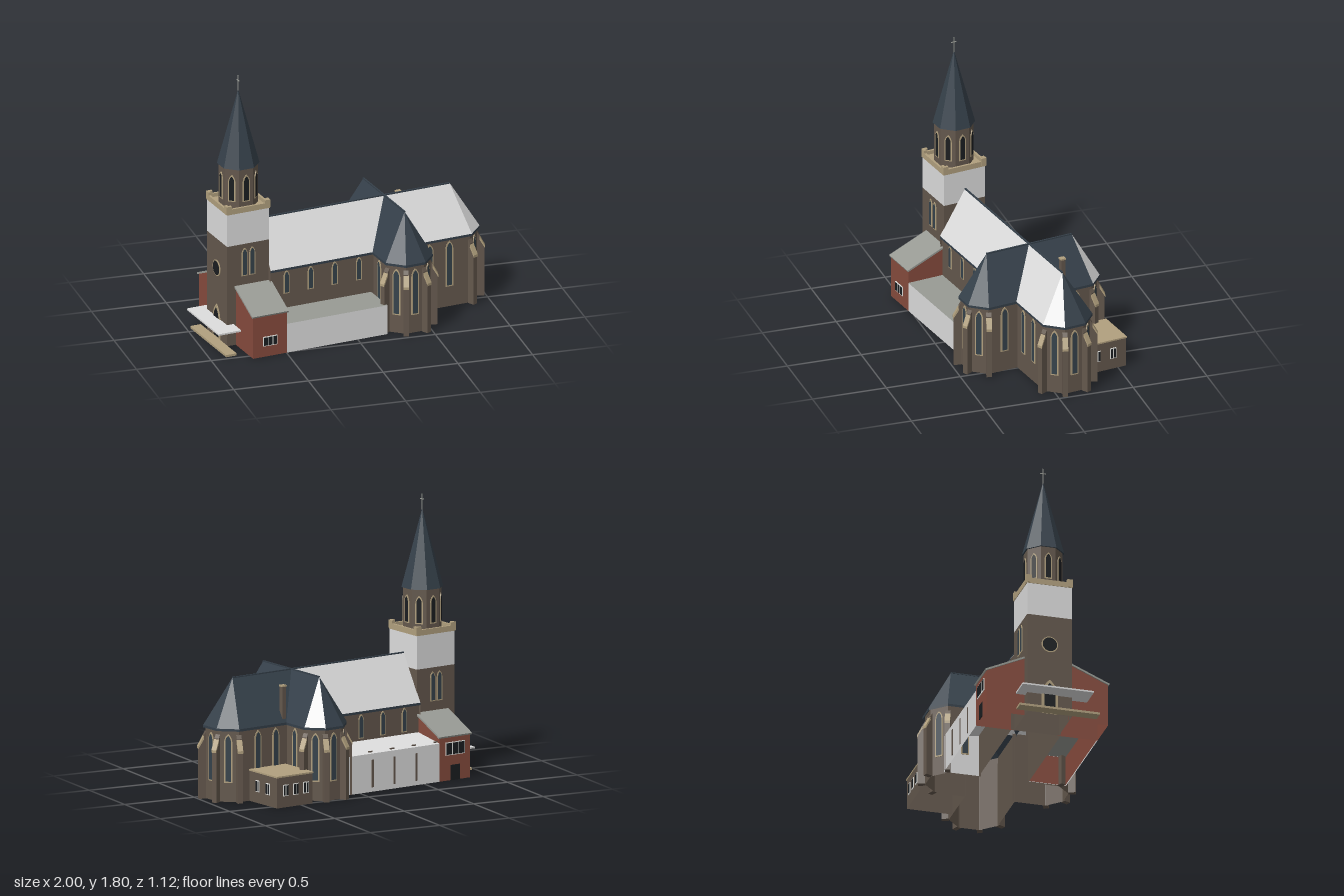
import * as THREE from 'three';

const mat = (name, color) => new THREE.MeshStandardMaterial({ name, color, side: THREE.DoubleSide });
const M = {
  brick: mat('brown brick', 0x64584d),
  red: mat('red brick', 0x864b3d),
  stone: mat('tan stone', 0xb1a07e),
  slate: mat('slate', 0x35404a),
  pale: mat('pale grey', 0xdddddd),
  grey: mat('grey roofing', 0x989a94),
  glass: mat('church glass', 0x35424b),
  dark: mat('dark opening', 0x1a1d20),
  white: mat('white frame', 0xe8e8e4),
};
const RIDGE = 0.78, EAVE = 0.48, T = Math.tan(Math.PI / 8);

function add(parent, geo, m, name, x = 0, y = 0, z = 0, ry = 0) {
  const mesh = new THREE.Mesh(geo, m);
  mesh.name = name;
  mesh.position.set(x, y, z);
  mesh.rotation.y = ry;
  parent.add(mesh);
  return mesh;
}
// Box given by its limits on each axis
function box(parent, m, name, x0, x1, y0, y1, z0, z1) {
  return add(parent, new THREE.BoxGeometry(x1 - x0, y1 - y0, z1 - z0), m, name,
    (x0 + x1) / 2, (y0 + y1) / 2, (z0 + z1) / 2);
}
// Flat polygons, each fanned from its first corner
function faces(parent, m, name, polys) {
  const pos = [];
  for (const p of polys)
    for (let i = 1; i < p.length - 1; i++) pos.push(...p[0], ...p[i], ...p[i + 1]);
  const g = new THREE.BufferGeometry();
  g.setAttribute('position', new THREE.Float32BufferAttribute(pos, 3));
  g.computeVertexNormals();
  return add(parent, g, m, name);
}
// Roof slope with a lining of the other roofing colour just beneath it
function slope(parent, m, poly) {
  faces(parent, m, 'roofSlope', [poly]);
  faces(parent, m === M.pale ? M.slate : M.pale, 'roofLining', [poly]).position.y = -0.006;
}
// Upright wall following a plan line of [x, z] points
function wall(parent, m, name, pts, y0, y1) {
  const polys = [];
  for (let i = 0; i < pts.length - 1; i++) {
    const [a, b] = [pts[i], pts[i + 1]];
    polys.push([[a[0], y0, a[1]], [a[0], y1, a[1]], [b[0], y1, b[1]], [b[0], y0, b[1]]]);
  }
  return faces(parent, m, name, polys);
}
function extrude(shape, depth) {
  return new THREE.ExtrudeGeometry(shape, { depth, bevelEnabled: false, curveSegments: 5 });
}
function lancetShape(w, h) {
  const s = new THREE.Shape(), r = w / 2;
  s.moveTo(-r, 0);
  s.lineTo(r, 0);
  s.lineTo(r, h - w);
  s.quadraticCurveTo(r * 0.9, h - w * 0.35, 0, h);
  s.quadraticCurveTo(-r * 0.9, h - w * 0.35, -r, h - w);
  return s;
}
// Pointed window with a stone surround; ry turns its face from +z
function lancet(parent, x, y, z, ry, w, h, glass = M.glass) {
  const g = new THREE.Group();
  g.name = 'lancetWindow';
  g.position.set(x, y, z);
  g.rotation.y = ry;
  add(g, extrude(lancetShape(w, h), 0.004), M.stone, 'windowSurround', 0, 0, 0.002);
  add(g, new THREE.ShapeGeometry(lancetShape(w * 0.68, h - w * 0.38), 5), glass, 'windowGlass', 0, w * 0.16, 0.008);
  parent.add(g);
}
// Square window with white frame and dark panes
function paneWindow(parent, x, y, z, ry, w, h, n) {
  const g = new THREE.Group();
  g.name = 'paneWindow';
  g.position.set(x, y, z);
  g.rotation.y = ry;
  add(g, new THREE.BoxGeometry(w, h, 0.004), M.white, 'frame', 0, 0, 0.004);
  for (let i = 0; i < n; i++)
    add(g, new THREE.PlaneGeometry(w / n - 0.006, h - 0.01), M.dark, 'pane', (i + 0.5) * w / n - w / 2, 0, 0.008);
  parent.add(g);
}
function profile(pts, width) {
  const g = extrude(new THREE.Shape(pts.map(p => new THREE.Vector2(...p))), width);
  return g.translate(0, 0, -width / 2);
}
const buttressGeo = profile([[-0.001, 0], [0.046, 0], [0.046, 0.335], [0.014, 0.395], [0.014, 0.415], [-0.001, 0.44]], 0.034);
const capGeo = profile([[0.05, 0.327], [0.05, 0.344], [0.015, 0.41], [0.013, 0.39]], 0.036);

// Church arm running along its own +x with a half-octagon end
function wing(parent, name, ry, L, a, start, sideWindows, lightFaces) {
  const g = new THREE.Group();
  g.name = name;
  g.position.x = 0.316;
  g.rotation.y = ry;
  parent.add(g);
  const b = a - 0.014;
  const plan = (r, s) => [[s, r], [L + r * T, r], [L + r, r * T], [L + r, -r * T], [L + r * T, -r], [s, -r]];
  wall(g, M.brick, 'wall', plan(b, start), 0, EAVE);
  wall(g, M.slate, 'gutter', plan(a, start), EAVE - 0.016, EAVE);
  // Roof: two long slopes and three end facets
  const e = plan(a, 0).map(([x, z]) => [x, EAVE, z]), top = [L, RIDGE, 0];
  for (let i = 0; i < 5; i++) {
    const p = [top, e[i], e[i + 1]];
    if (i === 0 || i === 4) p.splice(i === 0 ? 1 : 3, 0, [0, RIDGE, 0]);
    slope(g, lightFaces.includes(i) ? M.pale : M.slate, p);
  }
  box(g, M.slate, 'ridgeCap', 0, L, RIDGE - 0.004, RIDGE + 0.004, -0.005, 0.005);
  for (const k of [-1, 0, 1]) {
    const f = k * Math.PI / 4;
    lancet(g, L + b * Math.cos(f), 0.125, b * Math.sin(f), Math.PI / 2 - f, 0.054, 0.32);
  }
  for (const k of [-3, -1, 1, 3]) {
    const f = k * Math.PI / 8, r = b / Math.cos(Math.PI / 8);
    add(g, buttressGeo, M.brick, 'buttress', L + r * Math.cos(f), 0, r * Math.sin(f), -f);
    add(g, capGeo, M.stone, 'buttressCap', L + r * Math.cos(f), 0, r * Math.sin(f), -f);
  }
  for (const t of sideWindows)
    for (const s of [1, -1]) lancet(g, t, 0.14, s * b, s > 0 ? 0 : Math.PI, 0.054, 0.315);
}

function buildNave(c) {
  const x0 = -0.575, x1 = 0.32, b = 0.165, a = 0.18;
  for (const s of [1, -1]) {
    wall(c, M.brick, 'naveWall', [[x0, s * b], [0.17, s * b]], 0, EAVE);
    wall(c, M.slate, 'naveGutter', [[x0, s * a], [0.17, s * a]], EAVE - 0.016, EAVE);
    slope(c, M.pale, [[x0, RIDGE, 0], [x1, RIDGE, 0], [x1, EAVE, s * a], [x0, EAVE, s * a]]);
    for (let i = 0; i < 4; i++) lancet(c, -0.456 + i * 0.171, 0.3, s * b, s > 0 ? 0 : Math.PI, 0.042, 0.16);
  }
  box(c, M.slate, 'naveRidge', x0, x1, RIDGE - 0.004, RIDGE + 0.004, -0.005, 0.005);
  faces(c, M.brick, 'naveGable', [[[x0, 0, -b], [x0, 0, b], [x0, EAVE, a], [x0, RIDGE, 0], [x0, EAVE, -a]]]);
}

function buildTower(c) {
  const t = new THREE.Group();
  t.name = 'tower';
  t.position.set(-0.721, 0, 0.004);
  c.add(t);
  const h = 0.149, sq = [[-h, -h], [h, -h], [h, h], [-h, h], [-h, -h]];
  wall(t, M.brick, 'towerShaft', sq, 0, 0.69);
  wall(t, M.pale, 'towerUpperStage', sq, 0.69, 0.91);
  box(t, M.stone, 'towerCornice', -0.153, 0.153, 0.91, 0.922, -0.153, 0.153);
  for (let i = 0; i < 4; i++) {
    const r = new THREE.Group();
    r.name = 'parapetSide';
    r.rotation.y = i * Math.PI / 2;
    box(r, M.stone, 'parapet', -0.153, 0.153, 0.915, 0.947, 0.138, 0.153);
    box(r, M.stone, 'cornerBlock', 0.118, 0.155, 0.915, 0.968, 0.136, 0.155);
    box(r, M.stone, 'cornerBlock', -0.155, -0.118, 0.915, 0.968, 0.136, 0.155);
    t.add(r);
  }
  // Paired lancets on the sides, rose and door on the west
  for (const s of [1, -1])
    for (const x of [-0.027, 0.027]) lancet(t, x, 0.47, s * h, s > 0 ? 0 : Math.PI, 0.042, 0.195);
  add(t, new THREE.CylinderGeometry(0.055, 0.055, 0.004, 20), M.stone, 'roseSurround', -h - 0.004, 0.49, 0).rotation.z = Math.PI / 2;
  add(t, new THREE.CircleGeometry(0.048, 20), M.dark, 'roseGlass', -h - 0.008, 0.49, 0, -Math.PI / 2);
  lancet(t, -h, 0, 0, -Math.PI / 2, 0.11, 0.24, M.dark);
  // Octagonal belfry and spire
  const ap = 0.117, oct = [];
  for (let i = 0; i <= 8; i++) {
    const f = (i + 0.5) * Math.PI / 4;
    oct.push([Math.cos(f), Math.sin(f)]);
  }
  const ring = r => oct.map(([x, z]) => [x * r, z * r]);
  wall(t, M.brick, 'belfry', ring(ap / Math.cos(Math.PI / 8)), 0.92, 1.2);
  for (let i = 0; i < 8; i++) {
    const f = i * Math.PI / 4;
    lancet(t, ap * Math.sin(f), 0.97, ap * Math.cos(f), f, 0.05, 0.185, M.dark);
  }
  const sp = ring(0.137).map(([x, z]) => [x, 1.195, z]);
  faces(t, M.slate, 'spire', sp.slice(0, 8).map((p, i) => [[0, 1.705, 0], p, sp[i + 1]]));
  faces(t, M.slate, 'spireSoffit', [sp.slice(0, 8)]);
  box(t, M.grey, 'crossPole', -0.0025, 0.0025, 1.69, 1.8, -0.0025, 0.0025);
  box(t, M.grey, 'crossBar', -0.0025, 0.0025, 1.763, 1.768, -0.018, 0.018);
}

// Red lean-to beside the tower and the low aisle next to it
function buildSideBlocks(c, s) {
  const x0 = -0.809, x1 = -0.569, zi = s * 0.147, zo = s > 0 ? 0.412 : -0.398, ry = s > 0 ? 0 : Math.PI;
  wall(c, M.red, 'leanToFront', [[x0, zo], [x1, zo]], 0, 0.285);
  faces(c, M.red, 'leanToSides', [x0, x1].map(x => [[x, 0, zi], [x, 0, zo], [x, 0.285, zo], [x, 0.4, zi]]));
  const lx = (x0 + x1) / 2, run = Math.abs(zo - zi) + 0.008;
  const roof = add(c, new THREE.BoxGeometry(x1 - x0 + 0.018, 0.012, Math.hypot(run, 0.118)), M.grey,
    'leanToRoof', lx, 0.346, zi + s * run / 2);
  roof.rotation.x = s * Math.atan2(0.118, run);
  if (s > 0) paneWindow(c, lx, 0.107, zo, ry, 0.1, 0.066, 3);
  else {
    paneWindow(c, lx, 0.208, zo, ry, 0.15, 0.085, 3);
    add(c, new THREE.BoxGeometry(0.07, 0.1, 0.004), M.dark, 'sideDoor', lx, 0.05, zo - 0.004);
  }
  const ax = s > 0 ? 0.146 : 0.16, ho = s > 0 ? 0.2 : 0.25, hi = s > 0 ? 0.2 : 0.285, zn = s * 0.165;
  wall(c, M.pale, 'aisleWall', [[x1, zo], [ax, zo]], 0, ho);
  faces(c, M.pale, 'aisleEnd', [[[ax, 0, zn], [ax, 0, zo], [ax, ho, zo], [ax, hi, zn]]]);
  faces(c, s > 0 ? M.grey : M.pale, 'aisleRoof', [[[x1, hi, zn], [ax, hi, zn], [ax, ho, zo], [x1, ho, zo]]]);
  if (s > 0) wall(c, M.red, 'aisleLining', [[x1, zo - 0.006], [ax - 0.006, zo - 0.006], [ax - 0.006, zn]], 0, ho - 0.004);
  else for (let i = 0; i < 4; i++) {
    const x = -0.555 + i * 0.172;
    box(c, M.brick, 'aisleButtressTop', x - 0.016, x + 0.016, 0.22, 0.262, -0.376, -0.37);
    if (i) box(c, M.brick, 'aislePilaster', x - 0.007, x + 0.007, 0.03, 0.21, zo - 0.005, zo - 0.001);
  }
}

function buildSacristy(c) {
  const x0 = 0.484, x1 = 0.766, z0 = -0.468, z1 = -0.16;
  wall(c, M.brick, 'sacristyWall', [[x0, z1], [x0, z0], [x1, z0], [x1, z1]], 0, 0.2);
  box(c, M.stone, 'sacristyRoof', x0 - 0.004, x1 + 0.004, 0.198, 0.208, z0 - 0.004, z1);
  for (const z of [-0.26, -0.372]) paneWindow(c, x1, 0.112, z, Math.PI / 2, 0.042, 0.075, 2);
  for (const x of [0.54, 0.62, 0.7]) paneWindow(c, x, 0.112, z0, Math.PI, 0.042, 0.075, 2);
  box(c, M.brick, 'chimney', 0.475, 0.505, 0.2, 0.712, -0.165, -0.135);
  box(c, M.stone, 'chimneyCap', 0.472, 0.508, 0.712, 0.722, -0.168, -0.132);
}

export function createModel() {
  const root = new THREE.Group();
  root.name = 'church';
  const turned = new THREE.Group();
  turned.name = 'churchBody';
  turned.rotation.y = 0.152;
  root.add(turned);
  const c = new THREE.Group();
  c.name = 'churchAxis';
  c.position.z = 0.02;
  turned.add(c);
  buildNave(c);
  buildTower(c);
  wing(c, 'choir', 0, 0.465, 0.178, 0.14, [0.244, 0.384], [0, 1]);
  wing(c, 'southTransept', -Math.PI / 2, 0.307, 0.167, 0.15, [0.258], []);
  wing(c, 'northTransept', Math.PI / 2, 0.307, 0.167, 0.15, [0.258], [1]);
  for (const s of [1, -1]) buildSideBlocks(c, s);
  buildSacristy(c);
  // West porch
  box(c, M.pale, 'porchCanopy', -0.984, -0.825, 0.136, 0.147, -0.208, 0.267);
  box(c, M.stone, 'porchStep', -0.954, -0.88, 0, 0.015, -0.22, 0.315);
  return root;
}
